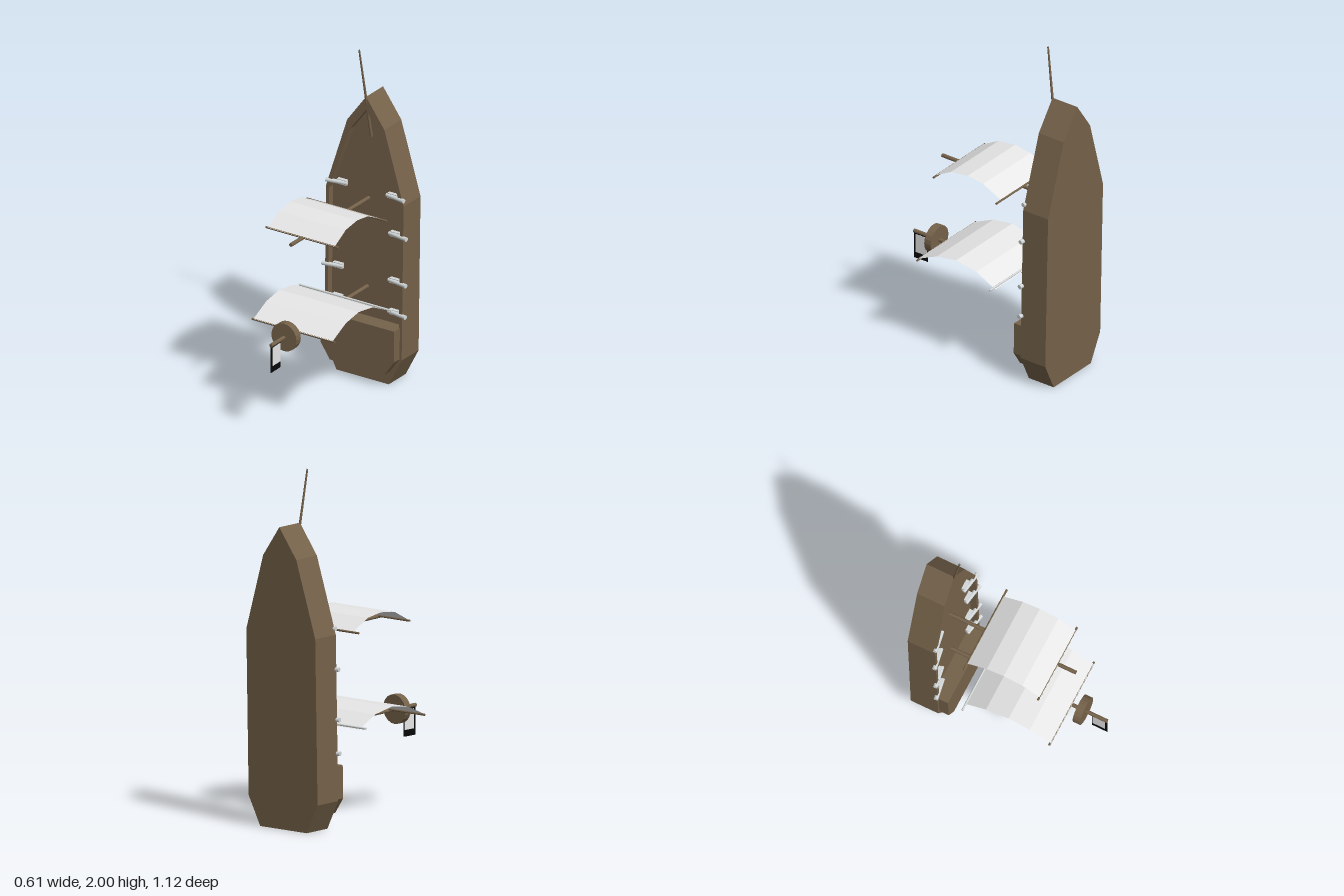
import * as THREE from 'three';

const V = (x, y, z) => new THREE.Vector3(x, y, z);

export function createModel() {
  const model = new THREE.Group();
  model.name = 'sailingShip';
  const material = (name, color, extra = {}) => {
    const m = new THREE.MeshStandardMaterial({ color, ...extra });
    m.name = name;
    return m;
  };
  const wood = material('wood', 0x75624a, { flatShading: true });
  const canvas = material('canvas', 0xececec, { flatShading: true, side: THREE.DoubleSide });
  const metal = material('paleMetal', 0xd4d8d8);
  const black = material('black', 0x080808);

  const add = (name, geometry, mat, parent = model) => {
    const mesh = new THREE.Mesh(geometry, mat);
    mesh.name = name;
    parent.add(mesh);
    return mesh;
  };
  // Round bar between two points
  const rod = (name, a, b, r, mat, r2 = r, sides = 10) => {
    const dir = b.clone().sub(a);
    const mesh = add(name, new THREE.CylinderGeometry(r2, r, dir.length(), sides), mat);
    mesh.position.copy(a).add(b).multiplyScalar(0.5);
    mesh.quaternion.setFromUnitVectors(V(0, 1, 0), dir.normalize());
    return mesh;
  };
  // Symmetric outline from right-hand [x, y] points, bottom to top
  const outline = (pts) => {
    const left = pts.filter((p) => p[0] > 0).reverse().map(([x, y]) => [-x, y]);
    return [...pts, ...left].map(([x, y]) => new THREE.Vector2(x, y));
  };
  const slab = (name, shape, z0, z1, parent) => {
    const g = new THREE.ExtrudeGeometry(shape, { depth: z1 - z0, bevelEnabled: false });
    g.translate(0, 0, z0);
    return add(name, g, wood, parent);
  };

  // Hull, standing on its stern and leaning back slightly
  const hull = new THREE.Group();
  hull.name = 'hull';
  hull.rotation.x = -0.0206;
  hull.position.set(-0.003, 0.01, 0);
  model.add(hull);
  const outer = outline([[0.173, 0], [0.256, 0.165], [0.256, 1.1], [0.123, 1.53], [0, 1.7]]);
  const inner = outline([[0.18, 0.08], [0.236, 0.17], [0.236, 1.09], [0.102, 1.48], [0, 1.62]]);
  slab('hullBody', new THREE.Shape(outer), -0.525, -0.395, hull);
  const rim = new THREE.Shape(outer);
  rim.holes.push(new THREE.Path(inner));
  slab('bulwark', rim, -0.395, -0.355, hull);
  const stern = outline([[0.18, 0.08], [0.242, 0.17], [0.242, 0.358]]);
  slab('sternDeck', new THREE.Shape(stern), -0.395, -0.298, hull);

  // Masts, bowsprit and lookout
  rod('mainMast', V(-0.005, 0.538, -0.42), V(-0.005, 0.558, 0.56), 0.011, wood);
  rod('foreMast', V(-0.003, 1.074, -0.43), V(-0.003, 1.096, 0.365), 0.011, wood);
  rod('bowsprit', V(0.01, 1.45, -0.424), V(-0.02, 2, -0.347), 0.009, wood, 0.005);
  rod('crowsNest', V(-0.005, 0.555, 0.386), V(-0.005, 0.556, 0.43), 0.083, wood, 0.083, 20);

  // Billowing sails from a [z, y] profile
  const sail = (name, profile, halfWidth, x) => {
    const pos = [];
    const index = [];
    profile.forEach(([z, y], i) => {
      pos.push(x - halfWidth, y, z, x + halfWidth, y, z);
      const k = i * 2;
      if (i) index.push(k - 2, k - 1, k, k - 1, k + 1, k);
    });
    const g = new THREE.BufferGeometry();
    g.setAttribute('position', new THREE.Float32BufferAttribute(pos, 3));
    g.setIndex(index);
    g.computeVertexNormals();
    add(name, g, canvas);
  };
  sail('mainSail', [[0.342, 0.566], [0.21, 0.624], [0.08, 0.641], [-0.06, 0.615], [-0.19, 0.546]], 0.262, -0.003);
  sail('foreSail', [[0.256, 1.1], [0.145, 1.158], [0.03, 1.171], [-0.075, 1.154], [-0.2, 1.09]], 0.221, -0.005);

  // Yards
  const yard = (name, halfWidth, y, z, mat) =>
    rod(name, V(-0.003 - halfWidth, y, z), V(-0.003 + halfWidth, y, z), 0.006, mat);
  yard('mainUpperYard', 0.274, 0.562, 0.337, wood);
  yard('mainLowerYard', 0.306, 0.556, -0.184, metal);
  yard('foreUpperYard', 0.24, 1.097, 0.25, wood);
  yard('foreLowerYard', 0.264, 1.088, -0.197, wood);

  // Cannons along both rails
  for (const [y, shift] of [[0.435, 0], [0.625, 0], [0.908, 0], [1.135, -0.02]]) {
    for (const s of [-1, 1]) {
      const z = -0.358 - 0.0206 * y;
      const x = (d) => s * (d + shift) - 0.002;
      rod('cannonBarrel', V(x(0.15), y, z - 0.016), V(x(0.277), y, z + 0.004), 0.011, metal, 0.013);
      const carriage = add('cannonCarriage', new THREE.BoxGeometry(0.06, 0.03, 0.022), metal);
      carriage.position.set(x(0.187), y, z - 0.022);
    }
  }

  // Flag with a pale panel on each side
  const flag = add('flag', new THREE.BoxGeometry(0.004, 0.165, 0.095), black);
  flag.position.set(-0.005, 0.473, 0.513);
  for (const s of [-1, 1]) {
    const panel = add('flagPanel', new THREE.BoxGeometry(0.002, 0.112, 0.076), canvas);
    panel.position.set(-0.005 + s * 0.003, 0.484, 0.508);
  }
  return model;
}
